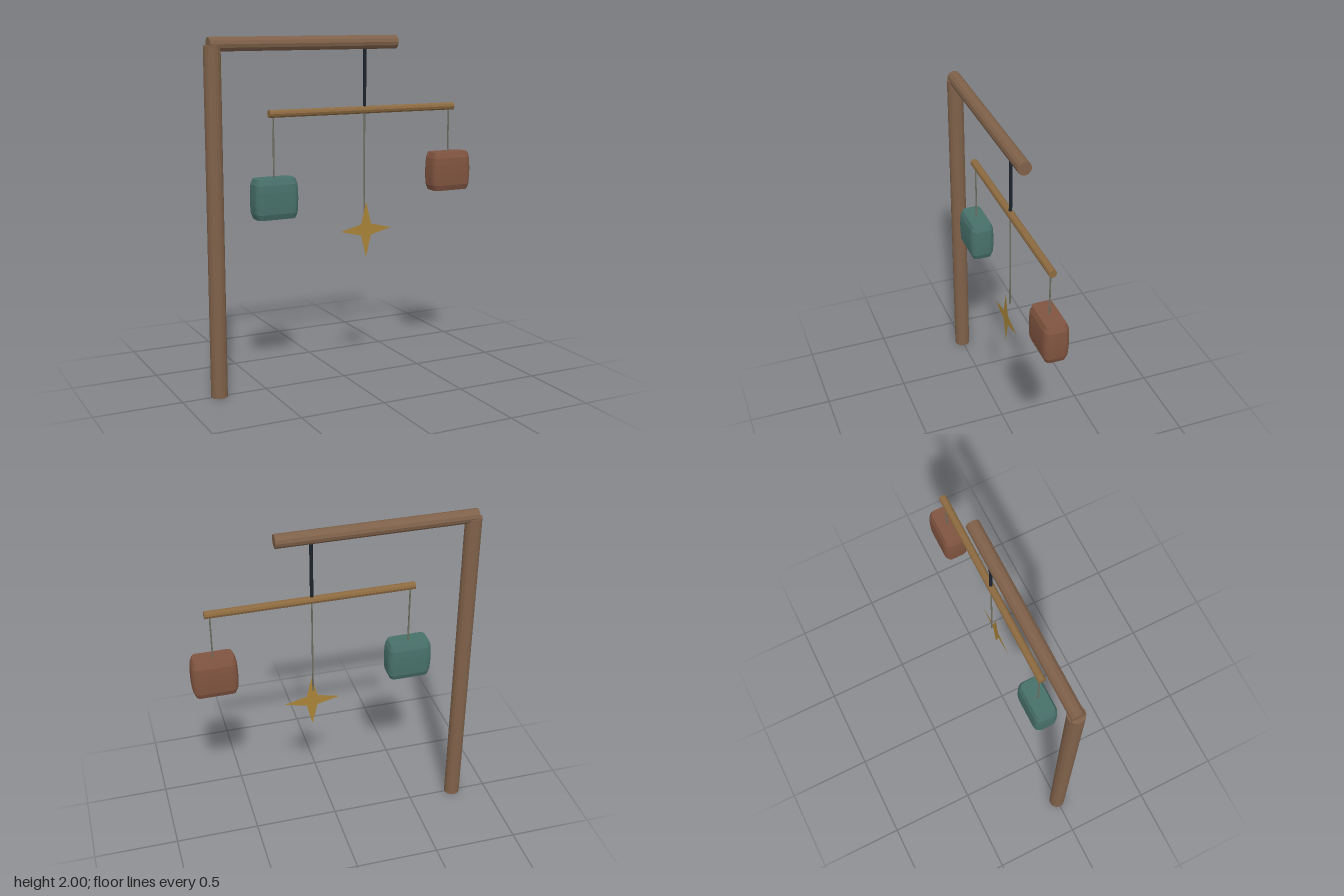
import * as THREE from 'three';

const flat = (name, color) => {
  const m = new THREE.MeshStandardMaterial({ color });
  m.name = name;
  m.flatShading = true;
  return m;
};

// Cylinder between two heights (upright) or two x positions (lying)
function rod(name, material, radius, sides, from, to) {
  const geo = new THREE.CylinderGeometry(radius, radius, from.distanceTo(to), sides);
  const mesh = new THREE.Mesh(geo, material);
  mesh.name = name;
  mesh.position.copy(from).lerp(to, 0.5);
  if (from.y === to.y) mesh.rotation.z = -Math.PI / 2;
  return mesh;
}

// Lantern body: rounded rectangles stacked along y, drawn in at top and bottom
function lanternGeometry(hx, hy, hz, corner) {
  const levels = [[-1, 0.017], [-0.72, 0.004], [-0.35, 0.001], [0, 0], [0.35, 0.001], [0.72, 0.004], [1, 0.017]];
  const steps = 4, ring = 4 * (steps + 1), pos = [], idx = [];
  for (const [t, inset] of levels) {
    for (let i = 0; i < ring; i++) {
      const q = Math.floor(i / (steps + 1));
      const a = (q + (i % (steps + 1)) / steps) * Math.PI / 2;
      const sx = q === 0 || q === 3 ? 1 : -1, sz = q < 2 ? 1 : -1;
      const r = corner - inset;
      pos.push(sx * (hx - corner) + r * Math.cos(a), t * hy, sz * (hz - corner) + r * Math.sin(a));
    }
  }
  for (let l = 0; l < levels.length - 1; l++) {
    for (let i = 0; i < ring; i++) {
      const a = l * ring + i, b = l * ring + (i + 1) % ring;
      idx.push(a, a + ring, b, b, a + ring, b + ring);
    }
  }
  const top = (levels.length - 1) * ring;
  for (let i = 1; i < ring - 1; i++) {
    idx.push(0, i, i + 1, top, top + i + 1, top + i);
  }
  const geo = new THREE.BufferGeometry();
  geo.setAttribute('position', new THREE.Float32BufferAttribute(pos, 3));
  geo.setIndex(idx);
  geo.computeVertexNormals();
  return geo;
}

export function createModel() {
  const wood = flat('brown wood', 0x7f614a);
  const lightWood = flat('golden wood', 0x8c6a40);
  const iron = flat('dark iron', 0x1c232c);
  const cord = flat('grey cord', 0x6e6d60);
  const teal = flat('teal', 0x48706a);
  const rust = flat('rust brown', 0x805440);
  const gold = flat('gold', 0xa88338);
  gold.side = THREE.DoubleSide;

  const model = new THREE.Group();
  model.name = 'hangingMobile';
  const v = (x, y) => new THREE.Vector3(x, y, 0);

  // Stand and crossbar
  model.add(
    rod('post', wood, 0.047, 16, v(-0.783, 0), v(-0.783, 1.955)),
    rod('topArm', wood, 0.039, 12, v(-0.805, 1.962), v(0.33, 1.962)),
    rod('hanger', iron, 0.01, 8, v(0.131, 1.578), v(0.131, 1.94)),
    rod('crossbar', lightWood, 0.022, 10, v(-0.462, 1.578), v(0.725, 1.578)),
    rod('starCord', cord, 0.0048, 6, v(0.131, 0.97), v(0.131, 1.57))
  );

  // Two lanterns on cords
  const body = lanternGeometry(0.13, 0.114, 0.073, 0.042);
  for (const [side, x, y, material] of [['right', -0.436, 1.108, teal], ['left', 0.695, 1.192, rust]]) {
    const lantern = new THREE.Mesh(body, material);
    lantern.name = side + 'Lantern';
    lantern.position.set(x, y, 0);
    model.add(lantern, rod(side + 'Cord', cord, 0.0048, 6, v(x, y + 0.11), v(x, 1.57)));
  }

  // Flat four-pointed star just in front of its cord
  const points = [];
  for (let i = 0; i < 8; i++) {
    const r = i % 2 ? 0.046 : 0.166, a = i * Math.PI / 4;
    points.push(new THREE.Vector2(r * Math.cos(a), r * Math.sin(a)));
  }
  const star = new THREE.Mesh(new THREE.ShapeGeometry(new THREE.Shape(points)), gold);
  star.name = 'star';
  star.position.set(0.131, 0.881, 0.025);
  model.add(star);

  return model;
}
